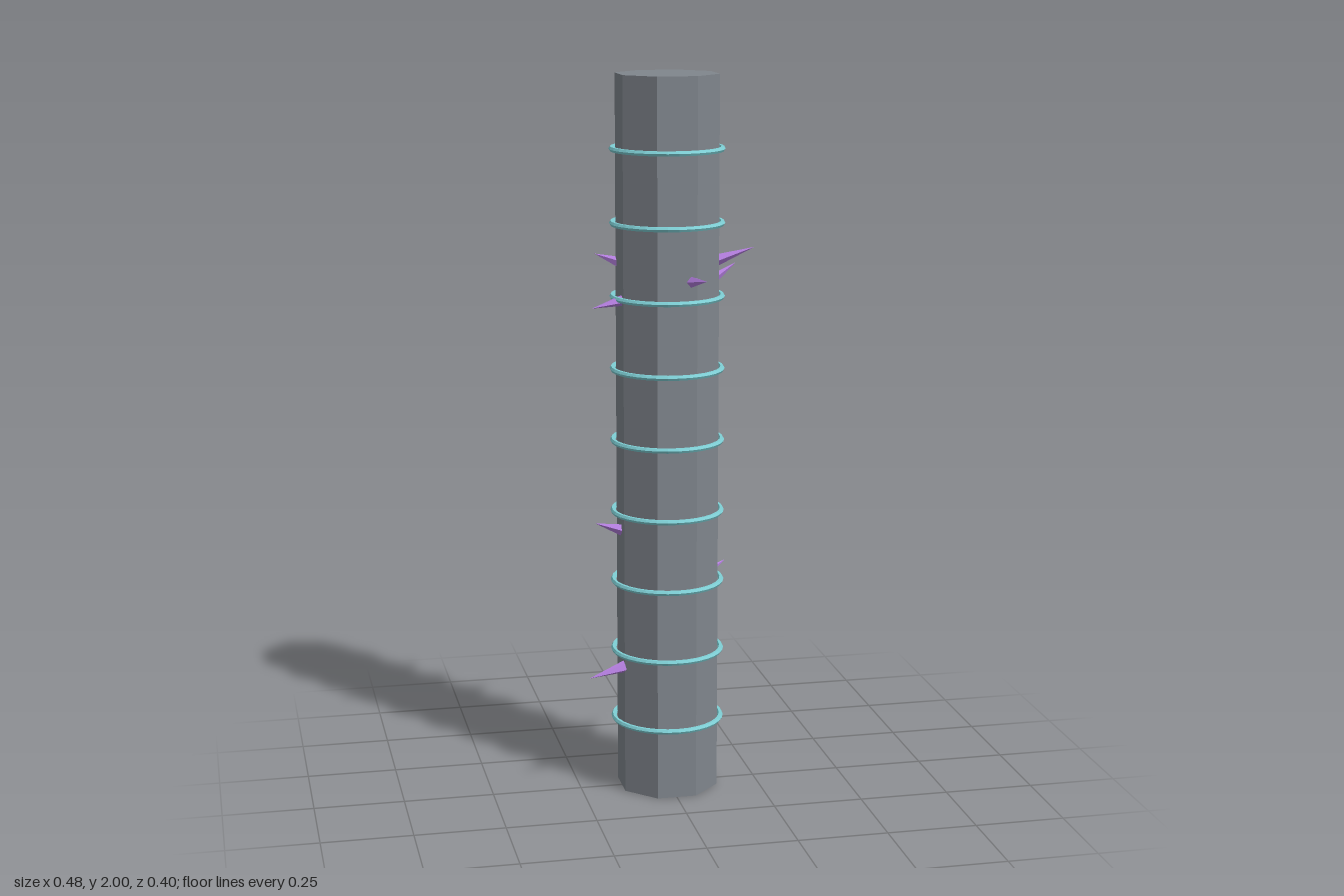
import * as THREE from 'three';

const CENTER_Z = -0.005;

// Thorns: tip x, tip y, tip z, base y, base radius
const THORNS = [
  [0.075, 1.07, -0.203, 1.09, 0.017],
  [0.138, 1.525, -0.185, 1.5, 0.018],
  [0.175, 1.167, -0.16, 1.158, 0.018],
  [0.194, 0.61, -0.125, 0.58, 0.018],
  [0.17, 1.405, -0.12, 1.4, 0.016],
  [0.2, 1.48, -0.04, 1.435, 0.016],
  [0.238, 1.53, 0.02, 1.495, 0.018],
  [0.065, 1.467, 0.198, 1.455, 0.017],
  [-0.187, 1.51, -0.082, 1.487, 0.016],
  [-0.205, 0.772, 0.003, 0.75, 0.017],
  [-0.218, 1.38, 0.046, 1.397, 0.016],
  [-0.237, 0.348, 0.075, 0.365, 0.018],
];

export function createModel() {
  const model = new THREE.Group();
  model.name = 'thornyPillar';
  const mat = (color) => new THREE.MeshStandardMaterial({ color, flatShading: true });
  const stone = mat(0x80868d), teal = mat(0x7fd0d6), purple = mat(0xb57fe0);

  // Octagonal shaft with flats facing the axes
  const shaftGeo = new THREE.CylinderGeometry(0.143, 0.143, 2, 8);
  shaftGeo.rotateY(Math.PI / 8);
  const shaft = new THREE.Mesh(shaftGeo, stone);
  shaft.name = 'shaft';
  shaft.position.set(0, 1, CENTER_Z);
  model.add(shaft);

  // Nine evenly spaced thin rings
  const ringGeo = new THREE.TorusGeometry(0.15, 0.0075, 6, 32);
  ringGeo.rotateX(Math.PI / 2);
  for (let i = 1; i <= 9; i++) {
    const ring = new THREE.Mesh(ringGeo, teal);
    ring.name = `ring${i}`;
    ring.position.set(0, i * 0.2, CENTER_Z);
    model.add(ring);
  }

  // Thorns radiate from the shaft, each slightly tilted
  const up = new THREE.Vector3(0, 1, 0);
  THORNS.forEach(([x, y, z, baseY, radius], i) => {
    const tip = new THREE.Vector3(x, y, z);
    const base = new THREE.Vector3(x, 0, z - CENTER_Z).setLength(0.13);
    base.y = baseY;
    base.z += CENTER_Z;
    const axis = tip.clone().sub(base);
    const thorn = new THREE.Mesh(new THREE.ConeGeometry(radius, axis.length(), 5), purple);
    thorn.name = `thorn${i + 1}`;
    thorn.position.copy(base).addScaledVector(axis, 0.5);
    thorn.quaternion.setFromUnitVectors(up, axis.normalize());
    model.add(thorn);
  });

  return model;
}
